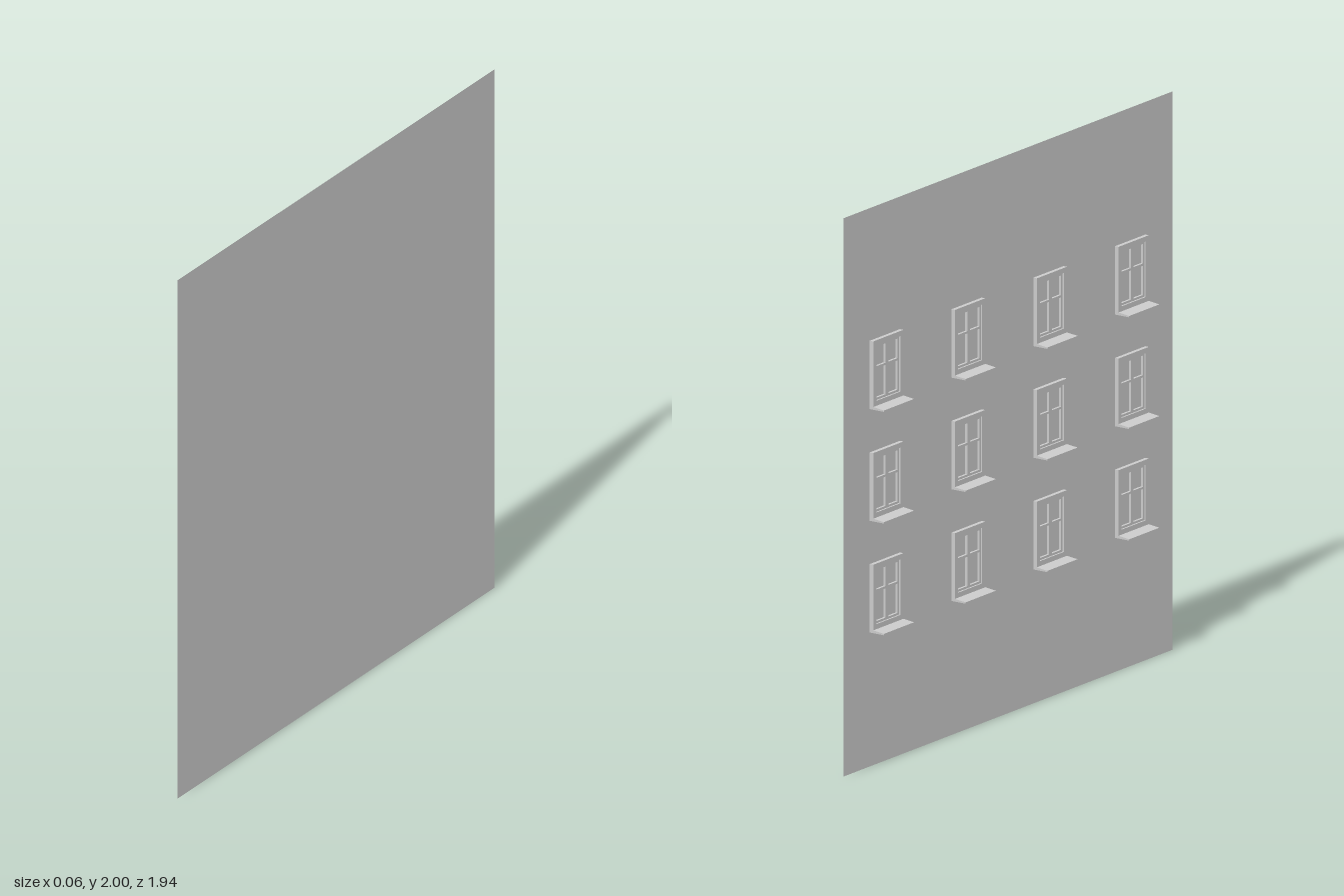
import * as THREE from 'three';

const WALL_X = 0.03;
const WIDTH = 0.178, HEIGHT = 0.245;
const SILL_H = 0.01, BORDER = 0.018;

const material = new THREE.MeshStandardMaterial({ color: 0xcccccc, flatShading: true });
const wallMaterial = new THREE.MeshStandardMaterial({ color: 0xcccccc, side: THREE.DoubleSide });

function rectPath(path, x0, y0, x1, y1) {
  path.moveTo(x0, y0);
  path.lineTo(x1, y0);
  path.lineTo(x1, y1);
  path.lineTo(x0, y1);
  path.closePath();
  return path;
}

// Rectangular panel with rectangular openings, standing out from the wall towards -x
function panel(outer, openings, depth) {
  const shape = rectPath(new THREE.Shape(), ...outer);
  for (const o of openings) shape.holes.push(rectPath(new THREE.Path(), ...o));
  return new THREE.ExtrudeGeometry(shape, { depth, bevelEnabled: false }).rotateY(-Math.PI / 2);
}

function add(group, name, geometry) {
  const mesh = new THREE.Mesh(geometry, material);
  mesh.name = name;
  group.add(mesh);
}

const half = WIDTH / 2;
const inner = [-half + BORDER, SILL_H + BORDER, half - BORDER, HEIGHT - BORDER];

// Outer casing
const casingGeometry = panel([-half, 0, half, HEIGHT], [inner], 0.015);

// Two sashes side by side, each with a transom above mid height
const BAR = 0.008, transomY = 0.145;
const panes = [];
for (const [z0, z1] of [[inner[0] + BAR, -BAR], [BAR, inner[2] - BAR]]) {
  panes.push([z0, inner[1] + BAR, z1, transomY - BAR / 2]);
  panes.push([z0, transomY + BAR / 2, z1, inner[3] - BAR]);
}
const sashGeometry = panel(inner, panes, 0.009);

// Sill with a top that slopes down away from the wall
const sillProfile = new THREE.Shape([
  new THREE.Vector2(-0.06, 0),
  new THREE.Vector2(0, 0),
  new THREE.Vector2(0, SILL_H + 0.002),
  new THREE.Vector2(-0.015, SILL_H),
  new THREE.Vector2(-0.06, 0.005),
]);
const sillGeometry = new THREE.ExtrudeGeometry(sillProfile, { depth: WIDTH, bevelEnabled: false })
  .translate(0, 0, -half);

function createWindow() {
  const group = new THREE.Group();
  add(group, 'windowCasing', casingGeometry);
  add(group, 'windowSashes', sashGeometry);
  add(group, 'windowSill', sillGeometry);
  return group;
}

export function createModel() {
  const model = new THREE.Group();
  model.name = 'facade';

  // Thin flat wall
  const wall = new THREE.Mesh(new THREE.PlaneGeometry(1.94, 2).rotateY(-Math.PI / 2), wallMaterial);
  wall.name = 'wall';
  wall.position.set(WALL_X, 1, 0);
  model.add(wall);

  // Three rows of four windows
  for (let row = 0; row < 3; row++) {
    for (let col = 0; col < 4; col++) {
      const win = createWindow();
      win.name = `window_${row + 1}_${col + 1}`;
      win.position.set(WALL_X, 0.48 + row * 0.4, -0.726 + col * 0.482);
      model.add(win);
    }
  }
  return model;
}
